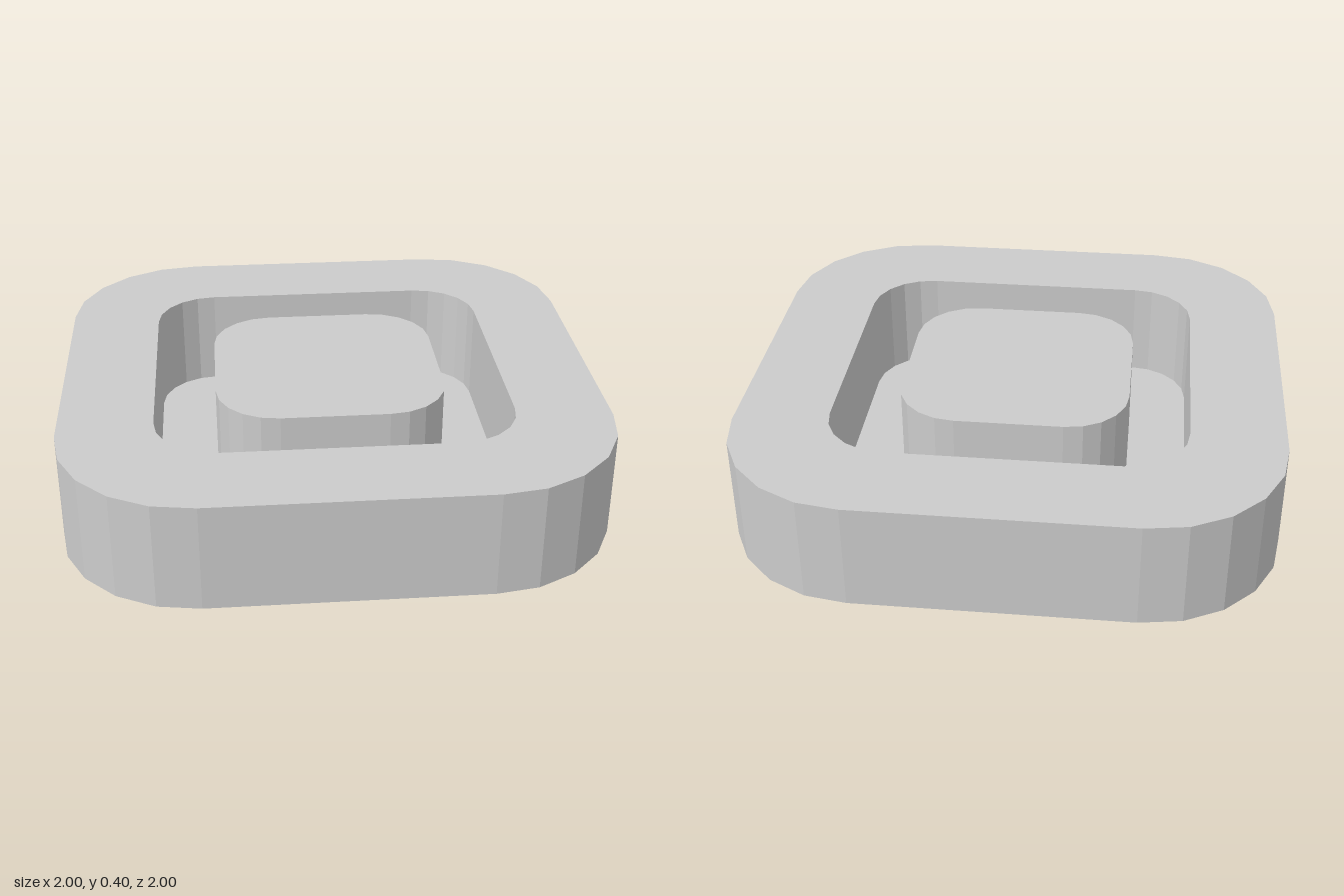
import * as THREE from 'three';

const HEIGHT = 0.4;
const FLOOR = 0.02;
const CORNER_SEGMENTS = 5;

// Faceted rounded square, counter-clockwise
function roundedSquare(half, radius) {
  const points = [];
  for (let corner = 0; corner < 4; corner++) {
    const mid = (corner + 0.5) * Math.PI / 2;
    const cx = Math.sign(Math.cos(mid)) * (half - radius);
    const cy = Math.sign(Math.sin(mid)) * (half - radius);
    for (let i = 0; i <= CORNER_SEGMENTS; i++) {
      const a = (corner + i / CORNER_SEGMENTS) * Math.PI / 2;
      points.push(new THREE.Vector2(cx + radius * Math.cos(a), cy + radius * Math.sin(a)));
    }
  }
  return points;
}

// Upright slab between two heights, with an optional hole
function slab(name, outline, bottom, top, hole) {
  const shape = new THREE.Shape(outline);
  if (hole) shape.holes.push(new THREE.Path(hole));
  const geometry = new THREE.ExtrudeGeometry(shape, { depth: top - bottom, bevelEnabled: false });
  geometry.rotateX(-Math.PI / 2).translate(0, bottom, 0);
  const mesh = new THREE.Mesh(geometry, new THREE.MeshStandardMaterial({ color: 0xcccccc, flatShading: true }));
  mesh.name = name;
  return mesh;
}

export function createModel() {
  const group = new THREE.Group();
  group.name = 'groovedBlock';

  const outer = roundedSquare(1, 0.5);
  const grooveEdge = roundedSquare(0.655, 0.23);
  const bossEdge = roundedSquare(0.43, 0.23);

  group.add(
    slab('basePlate', outer, 0, FLOOR),                    // thin closed bottom
    slab('outerRim', outer, FLOOR, HEIGHT, grooveEdge),    // wide surrounding rim
    slab('centreBoss', bossEdge, FLOOR, HEIGHT)            // island inside the groove
  );
  return group;
}
